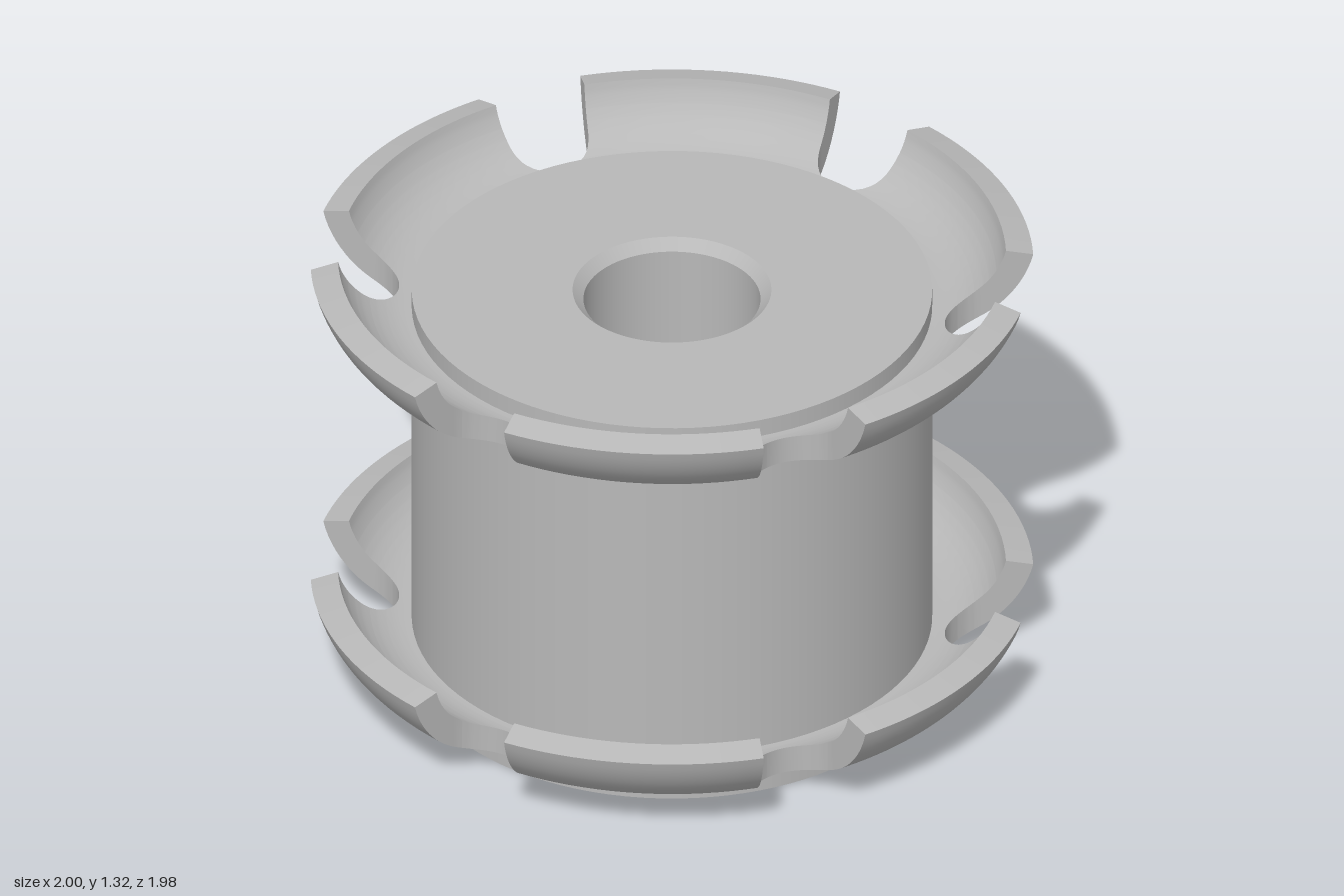
import * as THREE from 'three';
import { mergeVertices } from 'three/addons/utils/BufferGeometryUtils.js';

const BODY_R = 0.72, HEIGHT = 1.21, BORE = 0.245, CHAMFER = 0.03;
// Bowl section: two concentric arcs about (ARC_X, ARC_Y), joined by a sloping lip
const ARC_X = 0.72, ARC_Y = 1.368, R_OUT = 0.288, R_IN = 0.21;
const END = THREE.MathUtils.degToRad(13.6);
const RIM_R = ARC_X + R_OUT * Math.cos(END), RIM_Y = ARC_Y - R_OUT * Math.sin(END);
const LIP_R = ARC_X + R_IN * Math.cos(END), LIP_Y = ARC_Y - R_IN * Math.sin(END);
// Notch: round bottom with flared straight sides
const NOTCH_C = 0.88, NOTCH_R = 0.12, FLARE = Math.PI / 12;
const NOTCH_START = NOTCH_C - NOTCH_R;

const arcY = (r, R) => ARC_Y - Math.sqrt(Math.max(0, R * R - (r - ARC_X) ** 2));
const underY = (r) => arcY(r, R_OUT);
const topY = (r) => r <= LIP_R ? arcY(r, R_IN)
  : LIP_Y + (RIM_Y - LIP_Y) * (r - LIP_R) / (RIM_R - LIP_R);

// Half angle removed by a notch at radius r
function notchAngle(r) {
  if (r <= NOTCH_START) return 0;
  const tx = NOTCH_R * Math.cos(FLARE), tz = NOTCH_C - NOTCH_R * Math.sin(FLARE);
  if (r < Math.hypot(tx, tz)) {
    const c = (r * r + NOTCH_C * NOTCH_C - NOTCH_R * NOTCH_R) / (2 * r * NOTCH_C);
    return Math.acos(Math.min(1, c));
  }
  return FLARE + Math.asin((tx * Math.cos(FLARE) - tz * Math.sin(FLARE)) / r);
}

const point = (r, a, y) => [r * Math.sin(a), y, r * Math.cos(a)];

// Adds the triangles of a grid of points
function addGrid(out, grid, flip) {
  for (let i = 0; i < grid.length - 1; i++) {
    for (let j = 0; j < grid[i].length - 1; j++) {
      const a = grid[i][j], b = grid[i + 1][j], c = grid[i + 1][j + 1], d = grid[i][j + 1];
      const tris = flip ? [a, d, b, b, d, c] : [a, b, d, b, c, d];
      tris.forEach((p) => out.push(...p));
    }
  }
}

function smoothGeometry(positions) {
  const geo = new THREE.BufferGeometry();
  geo.setAttribute('position', new THREE.Float32BufferAttribute(positions, 3));
  const merged = mergeVertices(geo, 1e-5);
  merged.computeVertexNormals();
  return merged;
}

// Radii shared by the upper and lower bowl surfaces
function bowlRadii() {
  const radii = [0.71, LIP_R, RIM_R, NOTCH_START];
  for (const d of [0.0003, 0.0012, 0.003, 0.006, 0.011, 0.018]) radii.push(NOTCH_START + d);
  for (let i = 0; i < 16; i++) {
    const t = Math.PI / 2 + (END - Math.PI / 2) * i / 16;
    radii.push(ARC_X + R_OUT * Math.cos(t), ARC_X + R_IN * Math.cos(t));
  }
  radii.sort((a, b) => a - b);
  return radii.filter((r, i) => i === 0 || r - radii[i - 1] > 1e-5);
}

// Slotted bowl, made of six equal petals
function createBowl(name, material) {
  const radii = bowlRadii(), COLS = 18;
  const parts = { inside: [], lip: [], underside: [], notchWalls: [] };
  for (let k = 0; k < 6; k++) {
    const from = (r) => k * Math.PI / 3 + notchAngle(r);
    const to = (r) => (k + 1) * Math.PI / 3 - notchAngle(r);
    const sheet = (list, yAt) => list.map((r) => Array.from({ length: COLS + 1 },
      (_, j) => point(r, from(r) + (to(r) - from(r)) * j / COLS, yAt(r))));
    const wall = (angleAt) => radii.filter((r) => r >= NOTCH_START - 1e-6)
      .map((r) => [point(r, angleAt(r), underY(r)), point(r, angleAt(r), topY(r))]);
    addGrid(parts.inside, sheet(radii.filter((r) => r <= LIP_R + 1e-6), topY), false);
    addGrid(parts.lip, sheet(radii.filter((r) => r >= LIP_R - 1e-6), topY), false);
    addGrid(parts.underside, sheet(radii, underY), true);
    addGrid(parts.notchWalls, wall(from), false);
    addGrid(parts.notchWalls, wall(to), true);
  }
  const bowl = new THREE.Group();
  bowl.name = name;
  for (const [part, positions] of Object.entries(parts)) {
    const mesh = new THREE.Mesh(smoothGeometry(positions), material);
    mesh.name = part;
    bowl.add(mesh);
  }
  return bowl;
}

// Bored cylinder, one lathe per face so the edges stay sharp
function createBody(material) {
  const profile = [
    ['lowerChamfer', BORE, CHAMFER],
    ['bottomFace', BORE + CHAMFER, 0],
    ['outerWall', BODY_R, 0],
    ['topFace', BODY_R, HEIGHT],
    ['upperChamfer', BORE + CHAMFER, HEIGHT],
    ['boreWall', BORE, HEIGHT - CHAMFER],
  ];
  const body = new THREE.Group();
  body.name = 'body';
  profile.forEach(([name, x, y], i) => {
    const [, x2, y2] = profile[(i + 1) % profile.length];
    const points = [new THREE.Vector2(x, y), new THREE.Vector2(x2, y2)];
    const mesh = new THREE.Mesh(new THREE.LatheGeometry(points, 96), material);
    mesh.name = name;
    body.add(mesh);
  });
  return body;
}

export function createModel() {
  const metal = new THREE.MeshStandardMaterial({ color: 0xb8b8b8 });
  metal.name = 'grey metal';
  const model = new THREE.Group();
  model.name = 'slottedSpool';
  const lower = createBowl('lowerBowl', metal);
  lower.position.y = -1.013;
  model.add(createBody(metal), createBowl('upperBowl', metal), lower);
  return model;
}
